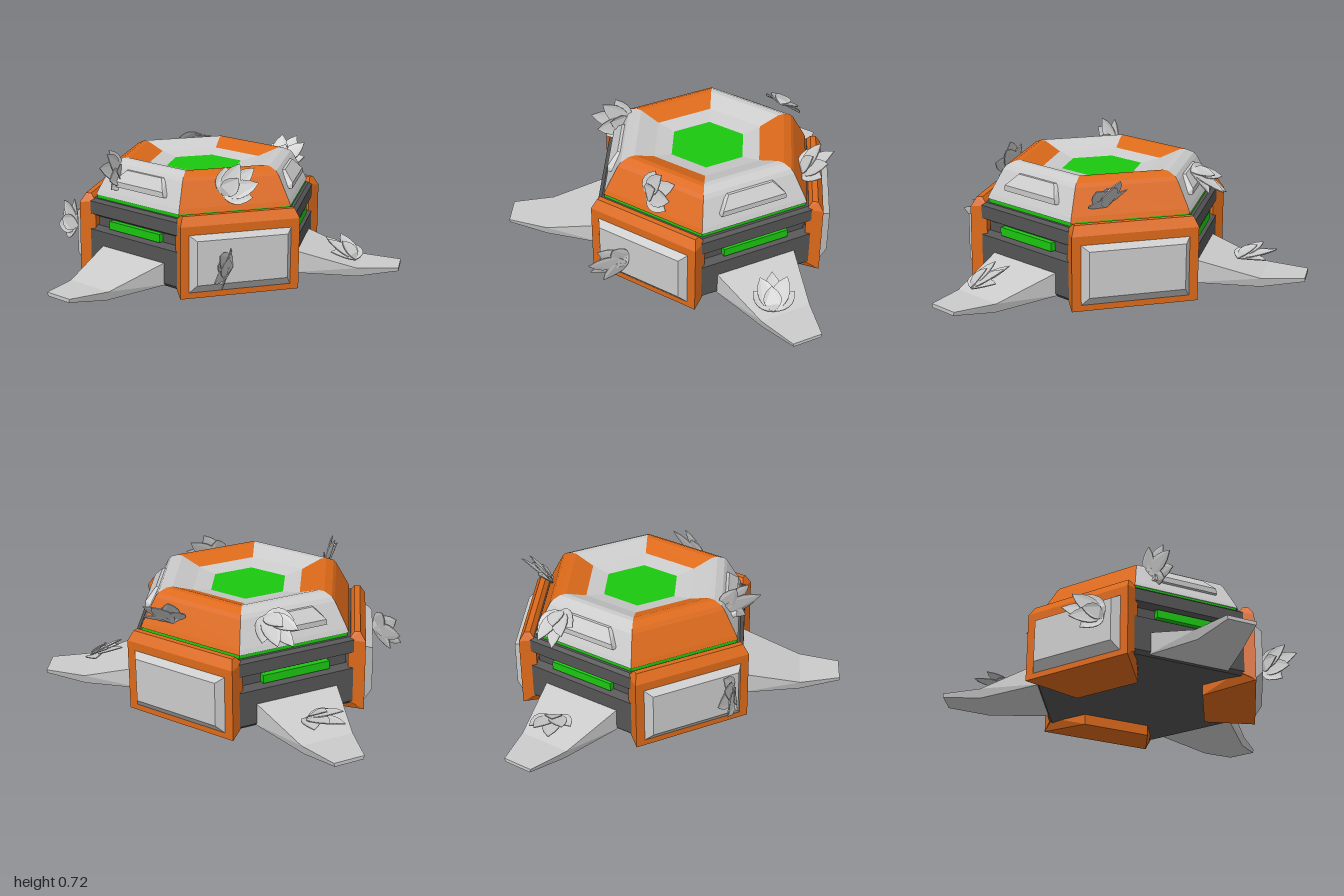
import * as THREE from 'three';
import { ConvexGeometry } from 'three/addons/geometries/ConvexGeometry.js';

const mat = (color) => new THREE.MeshStandardMaterial({ color, flatShading: true, side: THREE.DoubleSide });
const GREY = mat(0xcccccc), DARK = mat(0x555555), ORANGE = mat(0xdd6a1a), GREEN = mat(0x1bc810);
const V = (x, y, z) => new THREE.Vector3(x, y, z);

function add(parent, name, geometry, material) {
  const mesh = new THREE.Mesh(geometry, material);
  mesh.name = name;
  parent.add(mesh);
  return mesh;
}

// Convex block from [distance out, height, half width] stations, mirrored across z
function block(stations) {
  return new ConvexGeometry(stations.flatMap(([r, y, w]) => [V(r, y, w), V(r, y, -w)]));
}

// Hexagonal lathe from [apothem, height] pairs; by default the whole ring, else one side facing +x
function hex(profile, oneSide = false) {
  const pts = profile.map(([r, y]) => new THREE.Vector2(r / Math.cos(Math.PI / 6), y));
  return oneSide
    ? new THREE.LatheGeometry(pts, 1, Math.PI / 3, Math.PI / 3)
    : new THREE.LatheGeometry(pts, 6);
}

// Pointed, cupped leaf growing along +y and facing +z
function leafGeometry(length, width) {
  const s = new THREE.Shape();
  s.moveTo(0, 0);
  s.bezierCurveTo(width * 0.6, length * 0.2, width * 0.8, length * 0.6, 0, length);
  s.bezierCurveTo(-width * 0.8, length * 0.6, -width * 0.6, length * 0.2, 0, 0);
  const g = new THREE.ExtrudeGeometry(s, { depth: 0.005, bevelEnabled: false, curveSegments: 6 });
  const p = g.attributes.position;
  for (let i = 0; i < p.count; i++) {
    const x = p.getX(i), y = p.getY(i);
    p.setZ(i, p.getZ(i) + Math.abs(x) * 0.4 + 0.9 * y * y);
  }
  g.computeVertexNormals();
  return g;
}

// Fan of leaves at a point, with a growing direction and a facing direction
function leafCluster(parent, base, grow, facing) {
  const cluster = new THREE.Group();
  cluster.name = 'leafCluster';
  const up = V(...grow).normalize();
  const side = up.clone().cross(V(...facing)).normalize();
  cluster.quaternion.setFromRotationMatrix(
    new THREE.Matrix4().makeBasis(side, up, side.clone().cross(up)));
  cluster.position.set(...base);
  [[-0.75, 0.16, 0.05], [-0.35, 0.2, 0.2], [0.05, 0.22, 0.05], [0.4, 0.19, 0.25], [0.8, 0.15, 0.1], [0.1, 0.13, 0.5]]
    .forEach(([spread, length, tilt]) => {
      const leaf = add(cluster, 'leaf', leafGeometry(length, 0.09), GREY);
      leaf.rotation.set(tilt, 0, spread);
    });
  parent.add(cluster);
}

// Armoured side: bent orange slab, foot tucked under the hull, raised grey plate
function addArmour(side) {
  add(side, 'armourPanel', block([
    [0.54, 0.08, 0.33], [0.63, 0.03, 0.33], [0.63, 0.42, 0.33],
    [0.6, 0.47, 0.31], [0.57, 0.47, 0.31], [0.54, 0.43, 0.33],
  ]), ORANGE);
  add(side, 'armourFoot', block([
    [0.63, 0.03, 0.33], [0.55, 0.09, 0.33], [0.34, 0, 0.2], [0.34, 0.08, 0.2],
  ]), ORANGE);
  add(side, 'armourPlate', block([
    [0.62, 0.05, 0.29], [0.62, 0.38, 0.29], [0.67, 0.11, 0.25], [0.67, 0.35, 0.25],
  ]), GREY);
}

// Open side: tapering leg, glowing slot and roof hatch
function addLeg(side) {
  const root = [[0.54, 0.07, 0.24], [0.54, 0.2, 0.24]];
  const knee = [[0.89, 0.04, 0.13], [0.89, 0.09, 0.145]];
  const toe = [[1.11, 0.07, 0.08], [1.11, 0.09, 0.085]];
  add(side, 'upperLeg', block([...root, ...knee]), GREY);
  add(side, 'lowerLeg', block([...knee, ...toe]), GREY);
  const slot = add(side, 'lightSlot', new THREE.BoxGeometry(0.04, 0.045, 0.38), GREEN);
  slot.position.set(0.54, 0.315, 0);
  add(side, 'roofHatch', block([
    [0.49, 0.53, 0.2], [0.53, 0.53, 0.19], [0.53, 0.56, 0.185],
    [0.48, 0.62, 0.13], [0.45, 0.62, 0.14],
  ]), GREY);
}

export function createModel() {
  const model = new THREE.Group();
  model.name = 'hexagonalWalker';
  const hull = new THREE.Group();
  hull.name = 'hull';
  hull.position.x = 0.2;
  model.add(hull);

  // Dark body with a groove around it
  add(hull, 'body', hex([
    [0, 0.06], [0.55, 0.06], [0.57, 0.08], [0.57, 0.27], [0.53, 0.29], [0.53, 0.34],
    [0.57, 0.36], [0.57, 0.43], [0.55, 0.445], [0.3, 0.445],
  ]), DARK);
  add(hull, 'lightBand', hex([[0.535, 0.44], [0.535, 0.47]]), GREEN);
  add(hull, 'roofLight', hex([[0.19, 0.6], [0, 0.6]]), GREEN);
  add(hull, 'bowlFloor', hex([[0.28, 0.62], [0.19, 0.6]]), GREY);

  // Six sides, alternately armoured and legged
  for (let i = 0; i < 6; i++) {
    const armoured = i % 2 === 0;
    const side = new THREE.Group();
    side.name = armoured ? 'armouredSide' : 'legSide';
    side.rotation.y = -i * Math.PI / 3;
    hull.add(side);
    add(side, 'roofSector', hex([
      [0.5, 0.465], [0.54, 0.465], [0.53, 0.49], [0.465, 0.62], [0.45, 0.64],
      [0.41, 0.66], [0.38, 0.66], [0.28, 0.62],
    ], true), armoured ? ORANGE : GREY);
    if (armoured) addArmour(side);
    else addLeg(side);
  }

  // Leaves on the legs, panels and roof: base, growing direction, facing direction
  [
    [[-0.19, 0.2, 0.56], [-0.75, 0.1, 0.6], [-0.6, 0.2, -0.75]],
    [[-0.1, 0.54, 0.4], [0.8, 0.45, 0.25], [-0.3, 0.5, 0.7]],
    [[-0.25, 0.58, -0.22], [-0.9, 0.3, 0], [0.3, 0.2, 0.9]],
    [[-0.32, 0.25, -0.48], [0.5, 0.15, -0.75], [-0.8, 0.2, -0.5]],
    [[0.61, 0.15, -0.63], [0.05, -0.1, -1], [0, 1, 0]],
    [[0.59, 0.64, -0.36], [0.05, -0.7, -0.7], [0.4, 0.6, -0.6]],
    [[0.71, 0.52, 0.12], [0.85, 0.45, 0], [-0.4, 0.8, 0.3]],
    [[0.58, 0.11, 0.79], [0, 0.2, -1], [0, 1, 0]],
  ].forEach((c) => leafCluster(model, ...c));

  return model;
}
